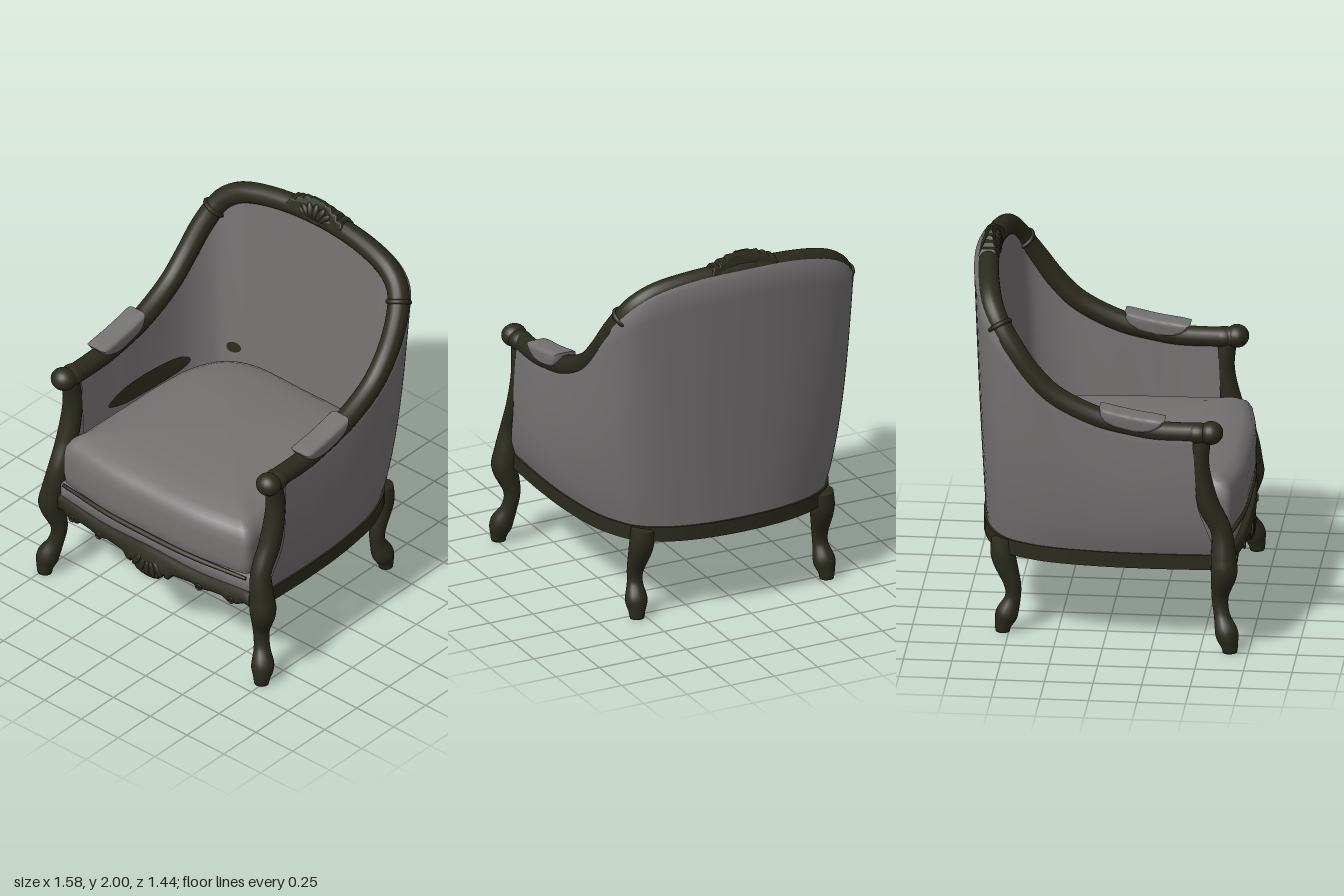
import * as THREE from 'three';
import { toCreasedNormals } from 'three/addons/utils/BufferGeometryUtils.js';

const V = (x, y, z) => new THREE.Vector3(x, y, z);
const wood = new THREE.MeshStandardMaterial({ color: 0x2b2a1e, side: THREE.DoubleSide });
wood.name = 'dark wood';
const fabric = new THREE.MeshStandardMaterial({ color: 0x757272, side: THREE.DoubleSide });
fabric.name = 'grey fabric';

// Surface through a list of equal-length rows of points
function skin(rows, closed) {
  const n = rows[0].length, pos = [], idx = [];
  rows.forEach(r => r.forEach(p => pos.push(p.x, p.y, p.z)));
  for (let i = 0; i < rows.length - 1; i++) {
    for (let j = 0; j < (closed ? n : n - 1); j++) {
      const k = (j + 1) % n, a = i * n + j, b = i * n + k, c = a + n, d = b + n;
      idx.push(a, b, c, b, d, c);
    }
  }
  const g = new THREE.BufferGeometry();
  g.setAttribute('position', new THREE.Float32BufferAttribute(pos, 3));
  g.setIndex(idx);
  g.computeVertexNormals();
  return g;
}

// Round bar of varying radius; each point is [x, y, z, radius]
function bar(pts, steps, sides = 16) {
  const curve = new THREE.CatmullRomCurve3(pts.map(p => V(p[0], p[1], p[2])), false, 'catmullrom');
  const radii = new THREE.CatmullRomCurve3(pts.map(p => V(p[3], 0, 0)), false, 'catmullrom');
  const frames = curve.computeFrenetFrames(steps), rows = [];
  for (let i = 0; i <= steps; i++) {
    const t = curve.getUtoTmapping(i / steps), c = curve.getPoint(t), r = radii.getPoint(t).x;
    const ring = s => Array.from({ length: sides }, (_, j) => {
      const a = j / sides * Math.PI * 2;
      const p = c.clone().addScaledVector(frames.normals[i], Math.cos(a) * r * s)
        .addScaledVector(frames.binormals[i], Math.sin(a) * r * s);
      p.y = Math.max(0, p.y);
      return p;
    });
    if (i === 0) rows.push(ring(0));
    rows.push(ring(1));
    if (i === steps) rows.push(ring(0));
  }
  return skin(rows, true);
}

const mirrored = half => [...half, ...half.slice(0, -1).reverse().map(p => [-p[0], ...p.slice(1)])];

// Rail from the left arm over the back to the right arm
const railPts = mirrored([
  [0.69, 1.178, 0.56, 0.052], [0.69, 1.178, 0.3, 0.054], [0.688, 1.2, 0.15, 0.056], [0.687, 1.25, -0.05, 0.057],
  [0.686, 1.35, -0.25, 0.057], [0.68, 1.47, -0.375, 0.057], [0.662, 1.6, -0.47, 0.058], [0.622, 1.715, -0.545, 0.058],
  [0.56, 1.79, -0.585, 0.058], [0.45, 1.845, -0.61, 0.056], [0.25, 1.88, -0.635, 0.054], [0, 1.89, -0.648, 0.054]]);
// Matching plan points at seat level
const basePts = mirrored([
  [0.685, 0.6], [0.695, 0.33], [0.695, 0.18], [0.69, 0.02], [0.67, -0.17], [0.645, -0.3],
  [0.603, -0.41], [0.55, -0.5], [0.47, -0.565], [0.36, -0.615], [0.2, -0.65], [0, -0.662]]);
const railCurve = new THREE.CatmullRomCurve3(railPts.map(p => V(p[0], p[1], p[2])), false, 'catmullrom');
const baseCurve = new THREE.CatmullRomCurve3(basePts.map(p => V(p[0], 0.5, p[1])), false, 'catmullrom');

function outward(t) {
  const d = baseCurve.getTangent(t);
  return V(-d.z, 0, d.x).normalize();
}

// Point on an upholstered wall: t runs round the chair, v from seat to rail
const OUTER = { top: 0.043, topBack: 0.03, base: 0, baseBack: 0, bulge: 0.032 };
const INNER = { top: -0.03, topBack: 0, base: -0.085, baseBack: -0.045, bulge: 0 };
function wallPoint(w, t, v) {
  const n = outward(t), back = Math.max(0, -n.z);
  const top = railCurve.getPoint(t).addScaledVector(n, w.top + w.topBack * back);
  const p = baseCurve.getPoint(t).addScaledVector(n, w.base + w.baseBack * back).lerp(top, v);
  p.addScaledVector(n, w.bulge * Math.sin(v ** 0.75 * Math.PI) * Math.abs(n.x));
  // the front edge follows the curve of the front post
  const front = Math.max(0, 1 - Math.min(t, 1 - t) * 7);
  p.z -= front * (0.025 + 0.075 * THREE.MathUtils.smoothstep(v, 0, 0.5));
  return p;
}

function wall(w, lip) {
  return skin(Array.from({ length: 89 }, (_, i) => {
    const t = i / 88;
    const row = Array.from({ length: 13 }, (_, j) => wallPoint(w, t, j / 12));
    if (lip) row.push(railCurve.getPoint(t).addScaledVector(outward(t), 0.02).add(V(0, 0.047, 0)));
    return row;
  }), false);
}

// Thin dark oval lying on the inner wall
function patch(tc, y, rt, ry) {
  const near = { ...INNER, top: INNER.top - 0.006, base: INNER.base - 0.006 };
  return skin([0, 0.5, 1].map(s => Array.from({ length: 24 }, (_, j) => {
    const a = j / 24 * Math.PI * 2, t = tc + Math.cos(a) * rt * s;
    const v = (y + Math.sin(a) * ry * s - 0.5) / (railCurve.getPoint(t).y - 0.5);
    return wallPoint(near, t, v);
  })), true);
}

// U-shaped wooden seat frame, open in the middle
function seatFrame() {
  const edge = off => Array.from({ length: 61 }, (_, i) => {
    const p = baseCurve.getPoint(i / 60).addScaledVector(outward(i / 60), off);
    return new THREE.Vector2(p.x, -p.z);
  });
  const shape = new THREE.Shape([...edge(0.012), ...edge(-0.06).reverse()]);
  const g = new THREE.ExtrudeGeometry(shape, { depth: 0.08, bevelEnabled: false });
  return toCreasedNormals(g.rotateX(-Math.PI / 2).translate(0, 0.43, 0), 0.6);
}

// Crowned cushion made of scaled plan outlines: hollow below, with its deep skirt at the front only
function cushion() {
  const half = [[0, 0.7], [0.3, 0.695], [0.54, 0.66], [0.625, 0.635], [0.618, 0.5], [0.61, 0.2],
    [0.6, -0.1], [0.57, -0.3], [0.49, -0.45], [0.35, -0.525], [0, -0.535]];
  const all = [...half, ...half.slice(1, -1).reverse().map(p => [-p[0], p[1]])];
  const plan = new THREE.CatmullRomCurve3(all.map(p => V(p[0], 0, p[1])), true, 'centripetal').getPoints(96).slice(0, -1);
  const levels = [[0.96, 0.603], [0.99, 0.62], [1, 0.68], [1, 0.78], [0.99, 0.83],
    [0.955, 0.87], [0.88, 0.9], [0.68, 0.925], [0.35, 0.938], [0, 0.94]];
  return skin(levels.map(([s, y]) => plan.map(p => {
    const skirt = THREE.MathUtils.smoothstep(p.z, 0.5, 0.62);
    const rim = 0.8 + (y - 0.603) * 0.13;
    return V(p.x * s, y < 0.83 ? THREE.MathUtils.lerp(rim, y, skirt) : y, 0.08 + (p.z - 0.08) * s);
  })), true);
}

// Board across the front, bowed forward; profile points are [x, lowY, topY]
function bowedBoard(profile, z, bow, thick) {
  return toCreasedNormals(skin(profile.map(([x, low, top]) => {
    const f = z + bow * (1 - (x / 0.65) ** 2), m = 0.012;
    return [V(x, top, f - thick), V(x, top, f - m), V(x, top - m, f), V(x, low + m, f), V(x, low, f - m), V(x, low, f - thick)];
  }), true), 0.9);
}

export function createModel() {
  const group = new THREE.Group();
  const add = (name, geo, mat, x = 0, y = 0, z = 0) => {
    const m = new THREE.Mesh(geo, mat);
    m.name = name;
    m.position.set(x, y, z);
    group.add(m);
    return m;
  };

  // Frame and upholstery
  add('armAndBackRail', bar(railPts, 120, 18), wood);
  add('outerUpholstery', wall(OUTER, true), fabric);
  add('innerUpholstery', wall(INNER, false), fabric);
  add('sideWallPatch', patch(1 - 2.9 / 22, 0.888, 2.1 / 22, 0.055), wood);
  add('backWallPatch', patch(1 - 7.95 / 22, 0.932, 0.5 / 22, 0.03), wood);
  add('seatFrame', seatFrame(), wood);
  add('seatCushion', cushion(), fabric);

  // Front apron with carved lower edge, padded strip and dark seam above it
  const low = mirrored([[0.65, 0.43], [0.61, 0.44], [0.57, 0.418], [0.52, 0.412], [0.48, 0.435], [0.4, 0.432],
    [0.34, 0.418], [0.29, 0.435], [0.22, 0.43], [0.17, 0.425], [0.135, 0.385], [0.12, 0.385], [0.112, 0.405],
    [0.095, 0.385], [0.07, 0.36], [0.035, 0.348], [0, 0.345]]);
  add('apron', bowedBoard(low.map(([x, y]) => [x, y, 0.505 + 0.012 * Math.cos(x * 5) ** 2]), 0.655, 0.052, 0.05), wood);
  const strip = Array.from({ length: 27 }, (_, i) => [-0.65 + i * 0.05, 0.49, 0.6]);
  add('frontPadding', bowedBoard(strip, 0.635, 0.035, 0.06), fabric);
  add('cushionSeam', bar(mirrored([[0.62, 0.597, 0.645, 0.009], [0.3, 0.598, 0.682, 0.014], [0, 0.598, 0.69, 0.014]]), 24, 8), wood);

  for (const s of [1, -1]) {
    const side = pts => pts.map(p => [p[0] * s, ...p.slice(1)]);
    // Legs
    add('frontPostAndLeg', bar(side([[0.69, 1.17, 0.51, 0.045], [0.69, 1.0, 0.493, 0.052], [0.69, 0.8, 0.535, 0.058],
      [0.69, 0.65, 0.605, 0.055], [0.71, 0.5, 0.62, 0.066], [0.718, 0.42, 0.622, 0.068], [0.688, 0.29, 0.6, 0.045],
      [0.7, 0.19, 0.61, 0.042], [0.73, 0.1, 0.638, 0.06], [0.737, 0.035, 0.653, 0.044], [0.737, 0, 0.655, 0.038]]), 70), wood);
    add('backLeg', bar(side([[0.515, 0.5, -0.535, 0.06], [0.52, 0.4, -0.53, 0.064], [0.53, 0.26, -0.485, 0.045],
      [0.533, 0.18, -0.482, 0.041], [0.54, 0.095, -0.512, 0.058], [0.545, 0.035, -0.53, 0.043], [0.545, 0, -0.532, 0.037]]), 50), wood);

    // Scrolled arm end
    add('armScroll', new THREE.SphereGeometry(1, 20, 14), wood, s * 0.698, 1.183, 0.555).scale.set(0.068, 0.06, 0.062);
    add('armScrollNeck', new THREE.SphereGeometry(1, 20, 14), wood, s * 0.694, 1.178, 0.49).scale.set(0.062, 0.054, 0.07);

    // Arm pad wrapped over the rail
    const pad = new THREE.Shape();
    pad.moveTo(-0.295, 1.242);
    pad.quadraticCurveTo(-0.15, 1.255, 0, 1.295);
    pad.quadraticCurveTo(-0.005, 1.24, -0.1, 1.22);
    pad.quadraticCurveTo(-0.24, 1.18, -0.295, 1.242);
    const padGeo = new THREE.ExtrudeGeometry(pad, { depth: 0.065, curveSegments: 10, bevelThickness: 0.03, bevelSize: 0.018, bevelSegments: 5 });
    add('armPad', toCreasedNormals(padGeo.rotateY(Math.PI / 2), 0.8), fabric, s * 0.692 - 0.0325, 0, 0);

    // Collar on the back rail
    const t = s > 0 ? 6.9 / 22 : 1 - 6.9 / 22;
    const collar = add('railCollar', new THREE.TorusGeometry(0.056, 0.013, 8, 24), wood);
    collar.position.copy(railCurve.getPoint(t));
    collar.lookAt(collar.position.clone().add(railCurve.getTangent(t)));
  }

  // Carved crest: scalloped plate thinning toward the top, with a fan of ribs
  const outline = mirrored([[0.185, 1.915], [0.17, 1.942], [0.14, 1.942], [0.13, 1.963], [0.095, 1.965],
    [0.085, 1.983], [0.05, 1.982], [0.035, 1.994], [0, 1.995]]).map(p => new THREE.Vector2(...p));
  outline.push(new THREE.Vector2(-0.1, 1.89), new THREE.Vector2(0, 1.87), new THREE.Vector2(0.1, 1.89));
  const crest = new THREE.ExtrudeGeometry(new THREE.Shape(outline),
    { depth: 0.08, steps: 2, bevelThickness: 0.01, bevelSize: 0.005, bevelSegments: 2 }).translate(0, 0, -0.04);
  const cp = crest.attributes.position;
  for (let i = 0; i < cp.count; i++) {
    cp.setZ(i, -0.642 + cp.getZ(i) * THREE.MathUtils.clamp((2.01 - cp.getY(i)) / 0.09, 0.15, 1));
  }
  crest.computeVertexNormals();
  add('crestPlate', crest, wood);
  for (let i = -3; i <= 3; i++) {
    const a = i * 0.4;
    const rib = add('crestRib', new THREE.SphereGeometry(1, 10, 8), wood, Math.sin(a) * 0.09, 1.89 + Math.cos(a) * 0.045, -0.612);
    rib.scale.set(0.02, 0.045, 0.02);
    rib.rotation.set(-0.35, 0, -a);
  }

  // Carved shell and scrolls on the apron
  for (let i = -2; i <= 2; i++) {
    const rib = add('apronRib', new THREE.SphereGeometry(1, 10, 8), wood, i * 0.035, 0.4 + 0.006 * i * i, 0.704);
    rib.scale.set(0.018, 0.045, 0.012);
    rib.rotation.z = i * 0.3;
  }
  for (const x of [-0.54, -0.34, 0.34, 0.54]) {
    add('apronScroll', new THREE.TorusGeometry(0.016, 0.006, 6, 16), wood, x, 0.438, 0.655 + 0.052 * (1 - (x / 0.65) ** 2));
  }
  return group;
}
